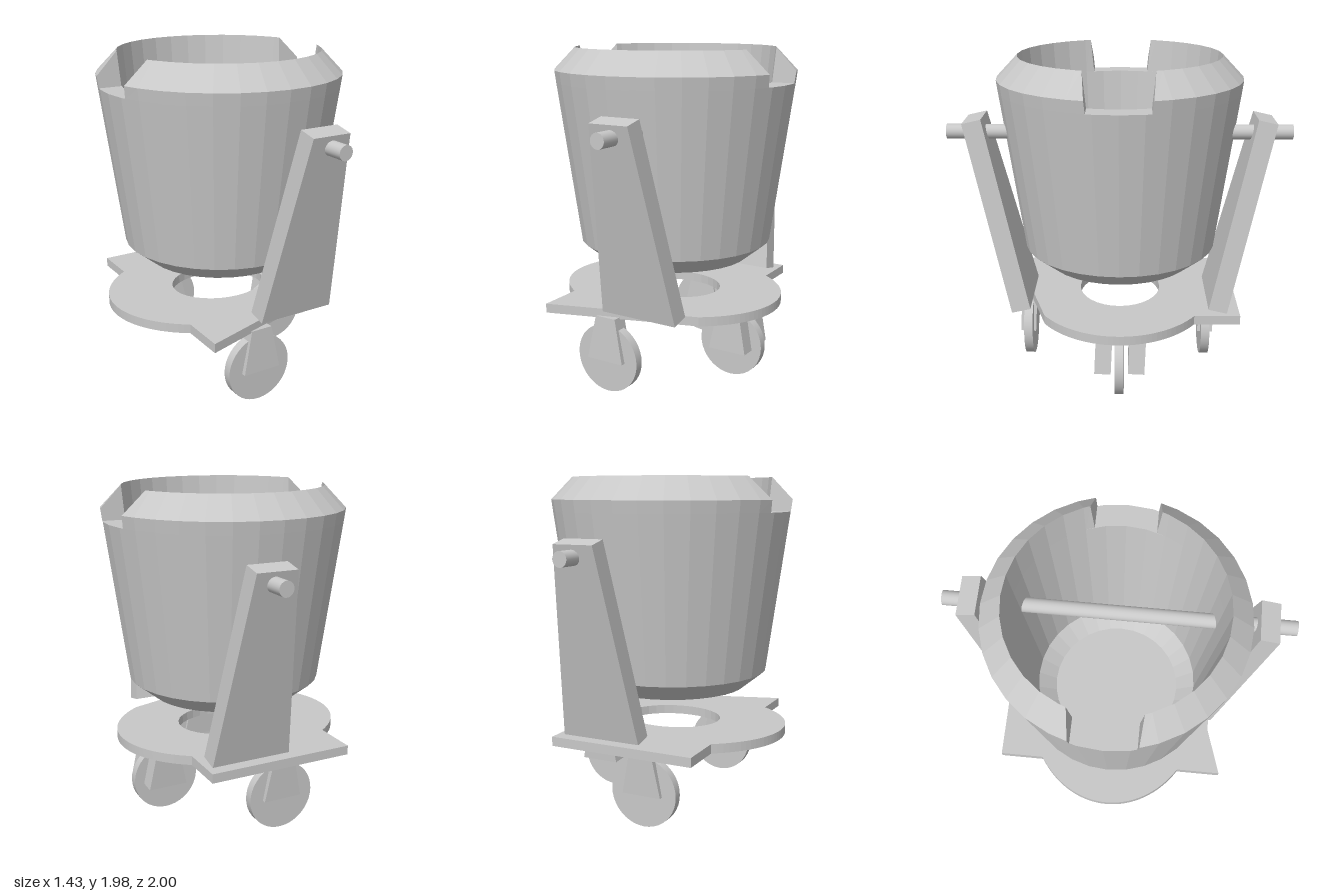
import * as THREE from 'three';

const steel = new THREE.MeshStandardMaterial({ color: 0xc8c8c8 });
steel.name = 'grey steel';
const faceted = new THREE.MeshStandardMaterial({ color: 0xc8c8c8, flatShading: true });
faceted.name = 'grey steel faceted';

// Tapered slab standing on y = 0, centred on x and z
function slab(bottom, top, height, depth) {
  const s = new THREE.Shape();
  s.moveTo(-bottom / 2, 0);
  s.lineTo(bottom / 2, 0);
  s.lineTo(top / 2, height);
  s.lineTo(-top / 2, height);
  s.closePath();
  return new THREE.ExtrudeGeometry(s, { depth, bevelEnabled: false }).translate(0, 0, -depth / 2);
}

// Half of the sloped rim, with its ends cut along the pouring notches
function rimGeometry() {
  const ring = [[0.577, 1.78], [0.711, 1.78], [0.72, 1.85], [0.595, 1.98]];
  const n = ring.length, pos = [], idx = [], last = 14;
  for (let k = 0; k <= last; k++) {
    for (const [r, y] of ring) {
      const cut = Math.asin((0.173 + 0.1 * (y - 1.78)) / r);
      const a = k === 0 ? cut : k === last ? Math.PI - cut : (k + 1) * Math.PI / 16;
      pos.push(r * Math.cos(a), y, r * Math.sin(a));
    }
  }
  for (let k = 0; k < last; k++) {
    for (let i = 0; i < n; i++) {
      const a = k * n + i, b = k * n + (i + 1) % n, c = b + n, d = a + n;
      idx.push(a, b, d, b, c, d);
    }
  }
  const e = last * n;
  idx.push(0, 2, 1, 0, 3, 2, e, e + 1, e + 2, e, e + 2, e + 3);
  const g = new THREE.BufferGeometry();
  g.setAttribute('position', new THREE.Float32BufferAttribute(pos, 3));
  g.setIndex(idx);
  const flat = g.toNonIndexed();
  flat.computeVertexNormals();
  return flat;
}

export function createModel() {
  const model = new THREE.Group();
  const add = (name, geometry, material, x = 0, y = 0, z = 0) => {
    const m = new THREE.Mesh(geometry, material);
    m.name = name;
    m.position.set(x, y, z);
    model.add(m);
    return m;
  };

  // Bucket: thick wall up to the notch floor, then two rim halves
  const profile = [[0, 0.72], [0.45, 0.72], [0.58, 0.825], [0.711, 1.78],
    [0.577, 1.78], [0.49, 0.86], [0.385, 0.78], [0, 0.78]].map(p => new THREE.Vector2(...p));
  add('bucket', new THREE.LatheGeometry(profile, 32), faceted);
  const rim = rimGeometry();
  add('frontRim', rim, faceted);
  add('backRim', rim, faceted).rotation.y = Math.PI;

  // Pivot pin running through the bucket and both arms
  add('pivotPin', new THREE.CylinderGeometry(0.043, 0.043, 2, 24).rotateX(Math.PI / 2), steel, 0.15, 1.555, 0);

  // Outward leaning support arms
  const arm = slab(0.485, 0.24, 1.15, 0.113);
  for (const side of [1, -1]) {
    const m = add(side > 0 ? 'frontArm' : 'backArm', arm, faceted, 0.14, 0.515, side * 0.585);
    m.rotation.x = side * 0.224;
  }

  // Base plate: rectangle with bulging sides and a central hole
  const t = Math.acos(0.44 / 0.7);
  const outline = new THREE.Shape();
  outline.moveTo(0.42, -0.715);
  outline.absellipse(-0.02, 0, 0.7, 0.57, -t, t, false);
  outline.lineTo(0.42, 0.715);
  outline.lineTo(-0.46, 0.715);
  outline.absellipse(-0.02, 0, 0.7, 0.57, Math.PI - t, Math.PI + t, false);
  outline.lineTo(-0.46, -0.715);
  outline.closePath();
  const hole = new THREE.Path();
  hole.absellipse(-0.01, 0, 0.3, 0.25, 0, Math.PI * 2, true);
  outline.holes.push(hole);
  const plate = new THREE.ExtrudeGeometry(outline, { depth: 0.055, bevelEnabled: false, curveSegments: 16 });
  add('basePlate', plate.rotateX(-Math.PI / 2), faceted, 0, 0.45, 0);

  // Wheels and their slightly tilted brackets
  const wheel = new THREE.CylinderGeometry(0.205, 0.205, 0.054, 40).rotateX(Math.PI / 2);
  const bracket = slab(0.24, 0.133, 0.265, 0.097);
  const wheels = [['frontWheel', -0.097, 0.585], ['backWheel', -0.097, -0.545], ['sideWheel', 0.41, 0]];
  for (const [name, x, z] of wheels) add(name, wheel, steel, x, 0.205, z);
  const brackets = [['frontBracket', -0.095, 0.593], ['backBracket', -0.095, -0.548],
    ['sideBracketFront', 0.445, 0.098], ['sideBracketBack', 0.445, -0.1]];
  for (const [name, x, z] of brackets) add(name, bracket, faceted, x, 0.195, z).rotation.x = -0.045;

  return model;
}
